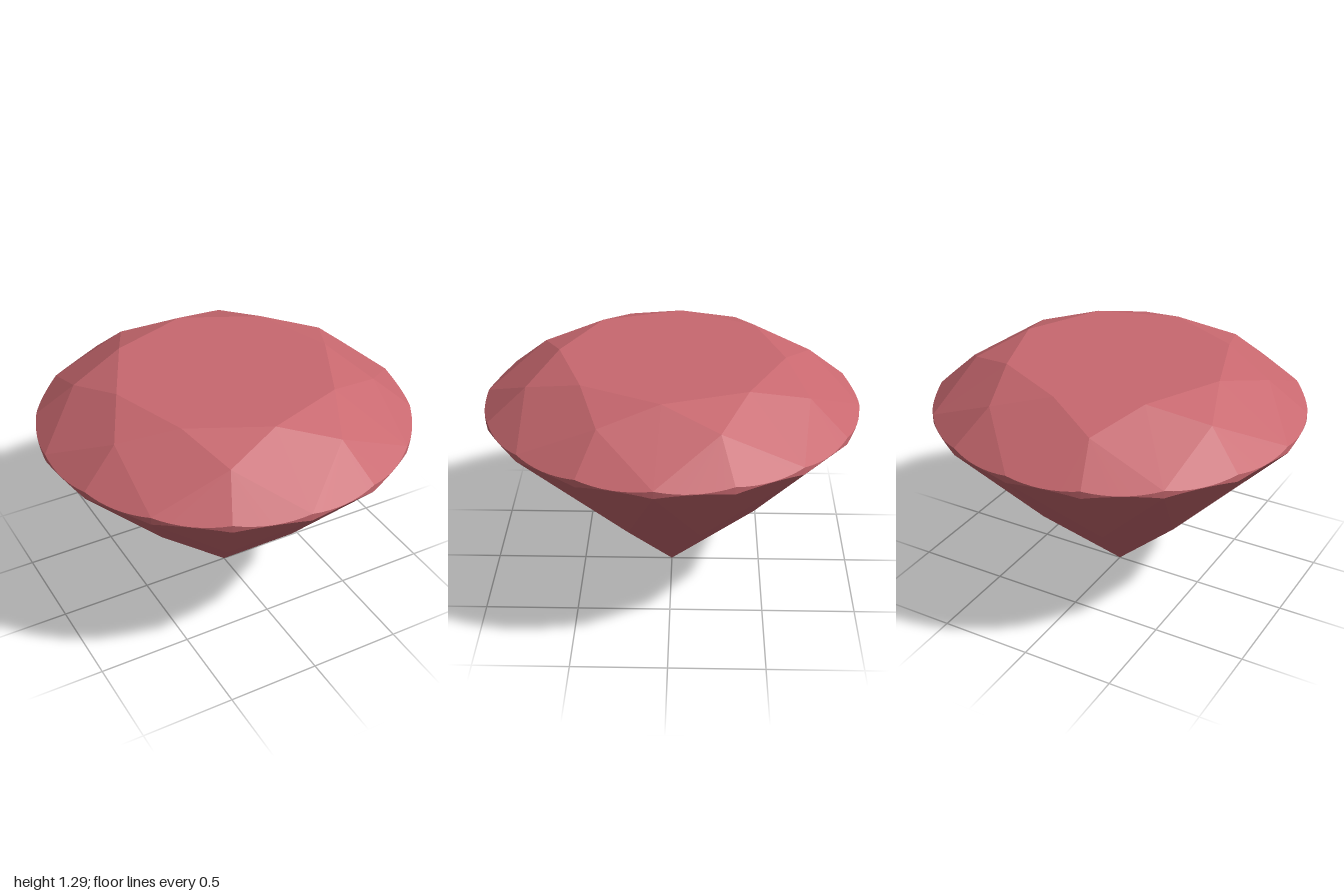
import * as THREE from 'three';

const TURN = THREE.MathUtils.degToRad(3.8); // slight turn of the whole cut
const STEP = Math.PI / 8;                   // 16 girdle corners
const ARC = 8;                              // girdle segments between corners
const TABLE = { r: 0.6, y: 1.295 };
const STAR = { r: 0.79, y: 1.212 };
const LOWER = { r: 0.5, y: 0.46 };
const TOP = 1.04, BOTTOM = 1.0;             // girdle heights at its corners

// Point at k sixteenths of a turn.
const at = (k, r, y) => {
  const a = TURN + k * STEP;
  return new THREE.Vector3(r * Math.cos(a), y, r * Math.sin(a));
};
const ring = (k, p) => at(k, p.r, p.y);

// Scalloped girdle edge from corner k to k + 1: the plane of the half facet
// (two corners and the inner point) meeting the round outline.
function scallop(k, inner, innerOffset, y) {
  const mid = Math.cos(STEP / 2);
  const slope = (inner.y - y) / (inner.r * Math.cos(innerOffset * STEP) - mid);
  const points = [];
  for (let i = 0; i <= ARC; i++) {
    const t = i / ARC;
    points.push(at(k + t, 1, y + slope * (Math.cos((t - 0.5) * STEP) - mid)));
  }
  return points;
}

// Flat convex polygons, each turned to face away from the middle of the stone.
function facets(name, polygons, material) {
  const centre = new THREE.Vector3(0, 0.95, 0);
  const positions = [], normal = new THREE.Vector3(), u = new THREE.Vector3(), v = new THREE.Vector3();
  for (const poly of polygons) {
    for (let i = 1; i < poly.length - 1; i++) {
      const tri = [poly[0], poly[i], poly[i + 1]];
      normal.crossVectors(u.subVectors(tri[1], tri[0]), v.subVectors(tri[2], tri[0]));
      if (normal.dot(u.subVectors(tri[0], centre)) < 0) tri.reverse();
      for (const p of tri) positions.push(p.x, p.y, p.z);
    }
  }
  const geometry = new THREE.BufferGeometry();
  geometry.setAttribute('position', new THREE.Float32BufferAttribute(positions, 3));
  geometry.computeVertexNormals();
  const mesh = new THREE.Mesh(geometry, material);
  mesh.name = name;
  return mesh;
}

export function createModel() {
  const material = new THREE.MeshStandardMaterial({ color: 0xc8686f, flatShading: true });
  const table = [[]], stars = [], crownMains = [], upperHalves = [];
  const girdle = [], lowerHalves = [], pavilionMains = [];
  const culet = new THREE.Vector3(0, 0, 0);

  for (let k = 0; k < 16; k += 2) {
    // Crown: table corner, star triangle and kite
    table[0].push(ring(k, TABLE));
    stars.push([ring(k, TABLE), ring(k + 1, STAR), ring(k + 2, TABLE)]);
    crownMains.push([ring(k, TABLE), ring(k + 1, STAR), at(k, 1, TOP), ring(k - 1, STAR)]);
    // Pavilion: long kite down to the point
    pavilionMains.push([culet, ring(k - 1, LOWER), at(k, 1, BOTTOM), ring(k + 1, LOWER)]);
  }

  for (let k = 0; k < 16; k++) {
    // Half facets meet the girdle in curved edges
    const odd = k % 2 ? k : k + 1;
    const upper = scallop(k, STAR, 0.5, TOP);
    const lower = scallop(k, LOWER, 0.5, BOTTOM);
    upperHalves.push([ring(odd, STAR), ...upper]);
    lowerHalves.push([ring(odd, LOWER), ...lower]);
    for (let i = 0; i < ARC; i++) {
      girdle.push([lower[i], lower[i + 1], upper[i + 1], upper[i]]);
    }
  }

  const gem = new THREE.Group();
  gem.name = 'gem';
  const parts = { table, stars, crownMains, upperHalves, girdle, lowerHalves, pavilionMains };
  for (const [name, polygons] of Object.entries(parts)) gem.add(facets(name, polygons, material));
  return gem;
}
